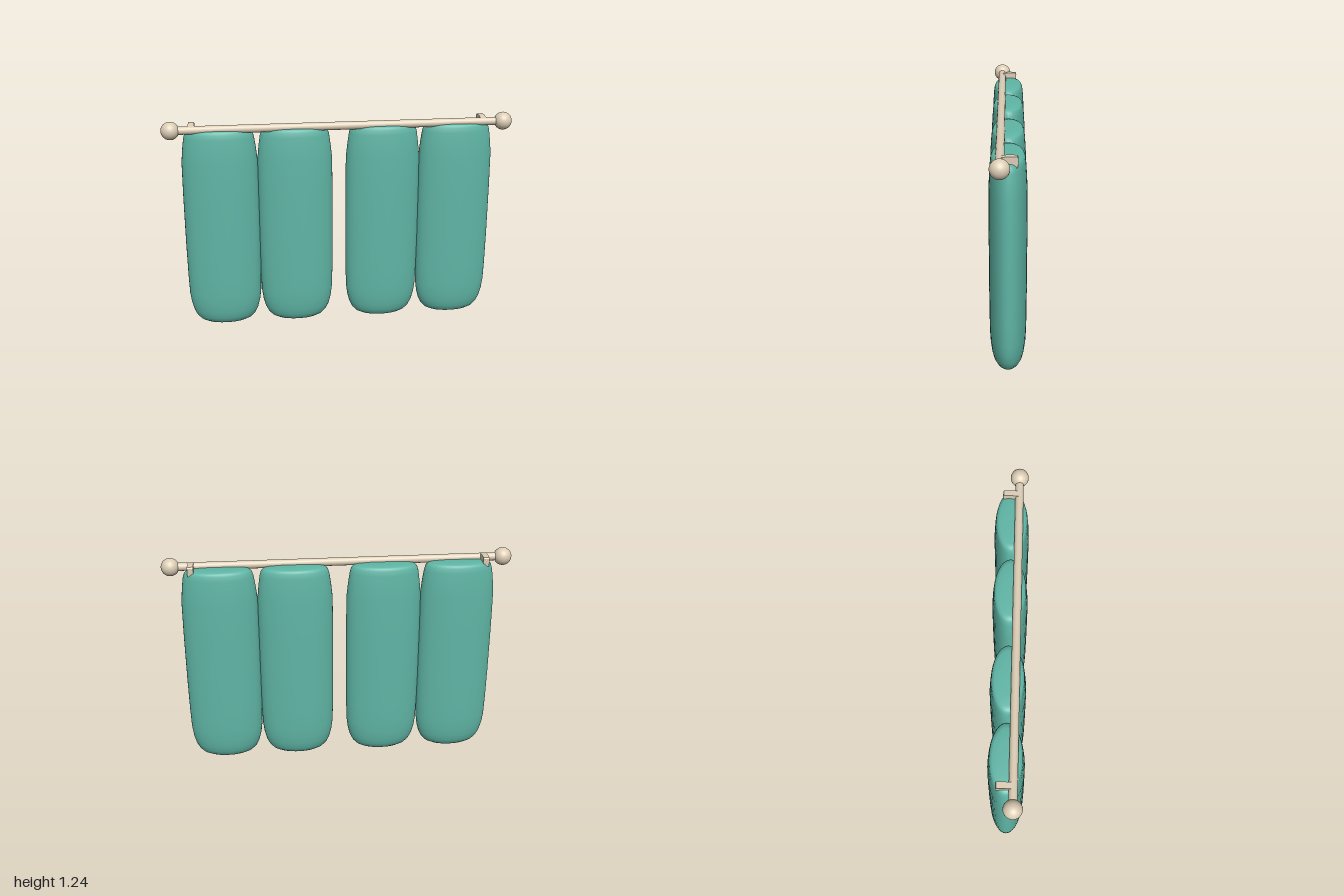
import * as THREE from 'three';

const fabric = new THREE.MeshStandardMaterial({ color: 0x5fb5a5 });
const wood = new THREE.MeshStandardMaterial({ color: 0xdccdb5 });

const ROD_Y = 1.193, ROD_Z = 0.04;

export function createModel() {
  const group = new THREE.Group();
  const add = (name, geometry, material, x, y, z) => {
    const mesh = new THREE.Mesh(geometry, material);
    mesh.name = name;
    mesh.position.set(x, y, z);
    group.add(mesh);
    return mesh;
  };

  // Puffy curtain fold: a rounded column squashed into an ellipse
  const profile = [
    [0, 0], [0.35, 0.001], [0.55, 0.006], [0.69, 0.02], [0.8, 0.045], [0.88, 0.08],
    [0.94, 0.13], [0.975, 0.19], [0.99, 0.3], [1, 0.5], [1, 0.8], [0.99, 1.0],
    [0.95, 1.08], [0.91, 1.14], [0.87, 1.168], [0.81, 1.18], [0.7, 1.186], [0.4, 1.19], [0, 1.19],
  ].map(([r, y]) => new THREE.Vector2(r, y));
  const foldGeometry = new THREE.LatheGeometry(profile, 40);
  foldGeometry.scale(0.217, 1, 0.1);
  for (const x of [-0.683, -0.255, 0.255, 0.683]) add('curtainFold', foldGeometry, fabric, x, 0, 0);

  // Rod with a ball at each end
  const rod = add('rod', new THREE.CylinderGeometry(0.023, 0.023, 1.9, 20), wood, 0, ROD_Y, ROD_Z);
  rod.rotation.z = Math.PI / 2;

  // Wall bracket: side outline of a small tapered arm, in (-z, y)
  const outline = new THREE.Shape([
    [-0.04, 1.178], [0, 1.175], [0.04, 1.162], [0.049, 1.164],
    [0.051, 1.21], [0.046, 1.219], [0, 1.221], [-0.04, 1.215],
  ].map(([x, y]) => new THREE.Vector2(x, y)));
  const bracketGeometry = new THREE.ExtrudeGeometry(outline, { depth: 0.034, bevelEnabled: false });
  bracketGeometry.translate(0, 0, -0.017);
  bracketGeometry.rotateY(Math.PI / 2);

  for (const side of [-1, 1]) {
    add('finial', new THREE.SphereGeometry(0.051, 28, 20), wood, side * 0.949, ROD_Y, ROD_Z);
    add('wallBracket', bracketGeometry, wood, side * 0.833, 0, 0);
  }
  return group;
}
